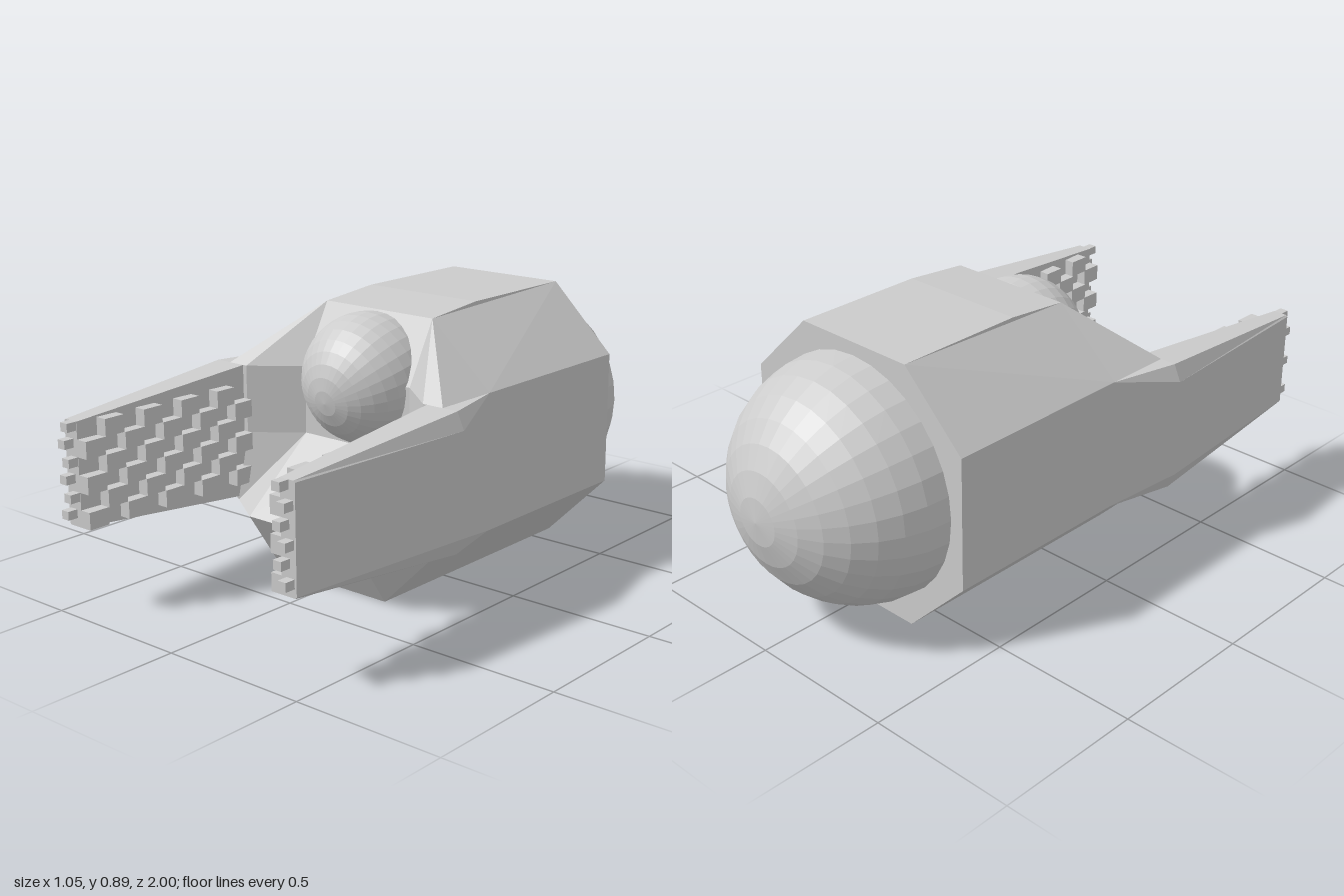
import * as THREE from 'three';

const grey = new THREE.MeshStandardMaterial({ color: 0xcccccc, flatShading: true });
const shell = new THREE.MeshStandardMaterial({ color: 0xcccccc, flatShading: true, side: THREE.DoubleSide });

// Flat panels, each a convex loop of corners
function panels(name, loops) {
  const pos = [];
  for (const loop of loops)
    for (let i = 1; i < loop.length - 1; i++) pos.push(...loop[0], ...loop[i], ...loop[i + 1]);
  const geo = new THREE.BufferGeometry();
  geo.setAttribute('position', new THREE.Float32BufferAttribute(pos, 3));
  geo.computeVertexNormals();
  const mesh = new THREE.Mesh(geo, shell);
  mesh.name = name;
  return mesh;
}

function block(name, w, h, d, x, y, z) {
  const mesh = new THREE.Mesh(new THREE.BoxGeometry(w, h, d), grey);
  mesh.name = name;
  mesh.position.set(x, y, z);
  return mesh;
}

// One half of the faceted hull, from the centre plane out to +x
function hullHalf() {
  const half = new THREE.Group();
  const B = -0.6, F = 0.3;
  const brow = [0.22, 0.87, 0.07], side = [0.445, 0.67, 0.07], sideLow = [0.445, 0.225, 0.07];
  const flareTop = [0.5, 0.67, F], flareHigh = [0.525, 0.615, F];
  const flareLow = [0.525, 0.28, F], flareBottom = [0.5, 0.225, F];
  const cheek = [0.445, 0.67, F], jaw = [0.445, 0.225, F];
  const wallIn = [0.22, 0.67, 0.18], wallOut = [0.37, 0.67, F];
  const floorIn = [0.22, 0.445, 0.18], floorOut = [0.37, 0.445, F];
  const lip = [0.22, 0.225, 0.45], lipOut = [0.37, 0.225, 0.35], keel = [0.22, 0, F];

  half.add(panels('hullShell', [
    [[0, 0.89, B], [0, 0.89, -0.15], [0.22, 0.89, -0.15], [0.22, 0.89, B]],
    [[0, 0.89, -0.15], [0, 0.87, 0.07], brow, [0.22, 0.89, -0.15]],
    [[0.22, 0.89, B], [0.22, 0.89, -0.15], brow, side, [0.445, 0.67, B]],
    [[0.445, 0.67, B], side, sideLow, [0.445, 0.225, B]],
    [[0.445, 0.225, B], jaw, keel, [0.22, 0, B]],
    [[0.22, 0, B], keel, [0, 0, F], [0, 0, B]],
    [[0, 0, B], [0, 0.89, B], [0.22, 0.89, B], [0.445, 0.67, B], [0.445, 0.225, B], [0.22, 0, B]],
  ]));
  half.add(panels('armShoulder', [
    [brow, cheek, side],
    [side, cheek, flareTop],
    [side, flareTop, flareHigh],
    [side, flareHigh, flareLow, sideLow],
    [sideLow, flareLow, flareBottom],
    [sideLow, flareBottom, jaw],
    [[0.37, 0.225, F], flareBottom, flareLow, flareHigh, flareTop, wallOut],
  ]));
  half.add(panels('mouth', [
    [[0, 0.87, 0.07], [0, 0.67, 0.18], wallIn, brow],
    [brow, wallIn, wallOut, cheek],
    [[0, 0.67, 0.18], [0, 0.445, 0.18], floorIn, wallIn],
    [wallIn, floorIn, floorOut, wallOut],
    [[0, 0.445, 0.18], [0, 0.225, 0.45], lip, floorIn],
    [floorIn, lip, lipOut, floorOut],
  ]));
  half.add(panels('chin', [
    [[0, 0, F], keel, lip, [0, 0.225, 0.45]],
    [keel, jaw, lip],
  ]));
  return half;
}

// Tapered forward arm with a checkered gripping pad on its inner face
function arm() {
  const g = new THREE.Group();
  const z0 = 0.3, z1 = 0.965, y0 = 0.28, rows = 6, cols = 9;
  const base = [[0.385, 0.225], [0.5, 0.225], [0.525, 0.28], [0.525, 0.615], [0.5, 0.67], [0.385, 0.67]]
    .map(([x, y]) => [x, y, z0]);
  const tip = [[0.42, 0.28], [0.47, 0.28], [0.475, 0.285], [0.475, 0.61], [0.47, 0.615], [0.42, 0.615]]
    .map(([x, y]) => [x, y, z1]);
  const loops = base.map((p, i) => [p, base[(i + 1) % 6], tip[(i + 1) % 6], tip[i]]);
  g.add(panels('armBody', [...loops, tip]));

  const rowH = 0.335 / rows, colD = (z1 - z0) / cols;
  for (let r = 0; r < rows; r++) {
    const y = y0 + rowH * (r + 0.5);
    for (let c = 0; c < cols; c++) {
      if ((r + c) % 2) continue;
      const t = (c + 0.5) / cols;
      g.add(block('gripBlock', 0.045, rowH, colD, 0.37 + 0.035 * t, y, z0 + colD * (c + 0.5)));
    }
    // Small teeth on the arm tip
    g.add(block('tipTooth', 0.03, rowH / 2, 0.045, r % 2 ? 0.437 : 0.453, y + rowH / 4, 0.9775));
  }
  return g;
}

export function createModel() {
  const model = new THREE.Group();
  model.name = 'pincerPod';

  for (const s of [1, -1]) {
    const hull = hullHalf();
    hull.name = s > 0 ? 'leftHull' : 'rightHull';
    hull.scale.x = s;
    const a = arm();
    a.name = s > 0 ? 'leftArm' : 'rightArm';
    a.scale.x = s;
    model.add(hull, a);
  }

  // Ball set into the front opening
  const ball = new THREE.Mesh(new THREE.SphereGeometry(0.215, 32, 16), grey);
  ball.name = 'frontBall';
  ball.position.set(0, 0.655, 0.12);
  ball.rotation.x = Math.PI / 2 + 0.21;
  model.add(ball);

  // Rear dome
  const dome = new THREE.Mesh(new THREE.SphereGeometry(0.4, 32, 8, 0, Math.PI * 2, 0, Math.PI / 2), grey);
  dome.name = 'rearDome';
  dome.position.set(0, 0.447, -0.6);
  dome.rotation.x = -Math.PI / 2;
  model.add(dome);

  return model;
}
